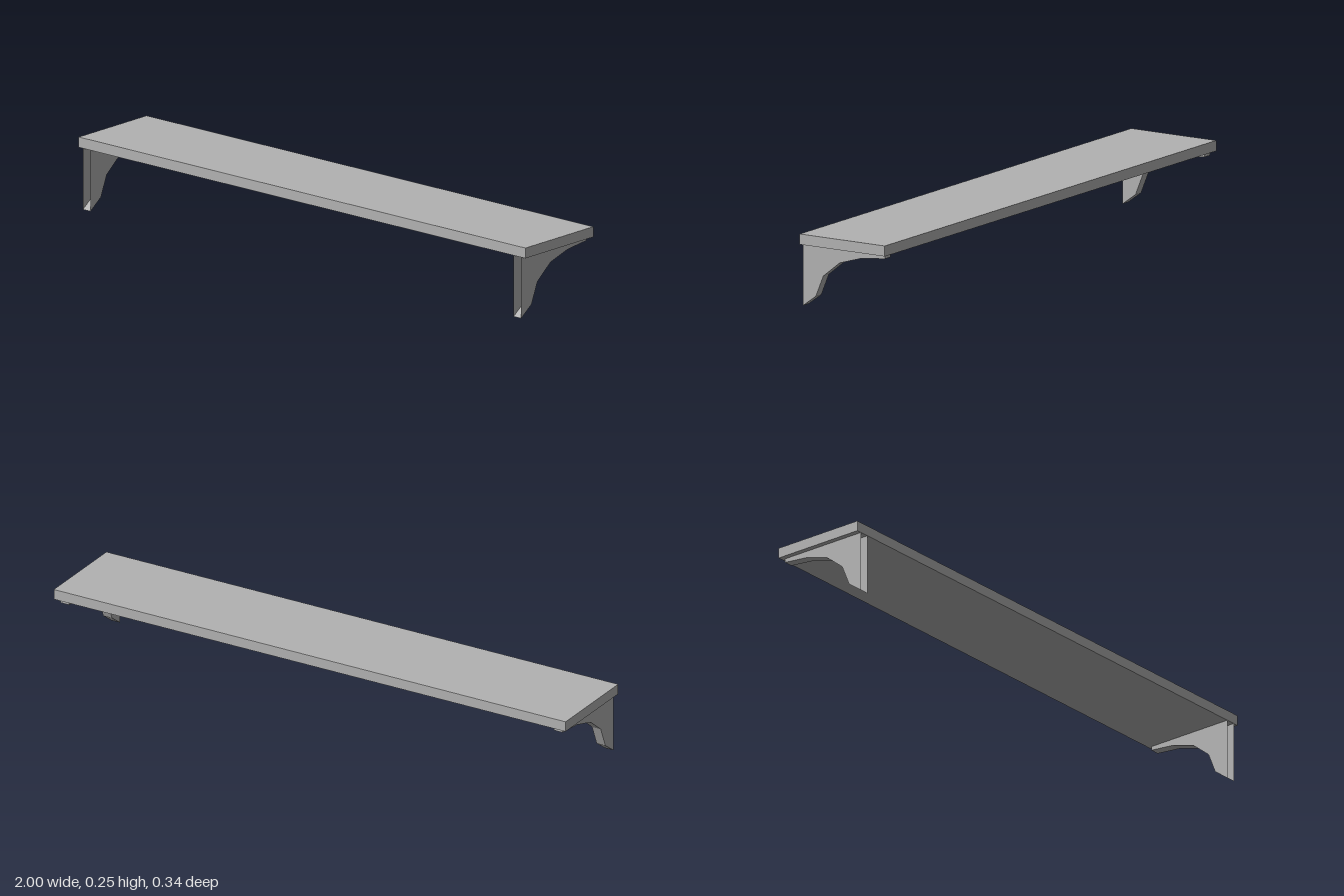
import * as THREE from 'three';

// Curved lower edge of a bracket as [z, y], from the wall foot to the shelf
const PROFILE = [
  [0.171, 0], [0.119, 0.038], [0.089, 0.111], [0.023, 0.164],
  [-0.064, 0.19], [-0.159, 0.2], [-0.159, 0.213],
];
const TOP = 0.213, HEIGHT = 0.249, DEPTH = 0.342;
const BRACKET_WIDTH = 0.034, BRACKET_X = 0.964;

// Flat side plate of a bracket, lying in the z-y plane
function sidePlate() {
  const outline = [...PROFILE, [0.171, TOP]].map(([z, y]) => new THREE.Vector2(-z, y));
  return new THREE.ShapeGeometry(new THREE.Shape(outline)).rotateY(Math.PI / 2);
}

// Faceted strip that joins the two plates along the curved edge
function edgeStrip() {
  const h = BRACKET_WIDTH / 2, pos = [];
  for (let i = 0; i < PROFILE.length - 1; i++) {
    const [z0, y0] = PROFILE[i], [z1, y1] = PROFILE[i + 1];
    pos.push(-h, y0, z0, -h, y1, z1, h, y1, z1);
    pos.push(-h, y0, z0, h, y1, z1, h, y0, z0);
  }
  const g = new THREE.BufferGeometry();
  g.setAttribute('position', new THREE.Float32BufferAttribute(pos, 3));
  g.computeVertexNormals();
  return g;
}

export function createModel() {
  const grey = new THREE.MeshStandardMaterial({ color: 0xb2b2b2, side: THREE.DoubleSide });
  grey.name = 'grey';
  const model = new THREE.Group();
  model.name = 'wallShelf';

  const add = (parent, name, geometry) => {
    const mesh = new THREE.Mesh(geometry, grey);
    mesh.name = name;
    parent.add(mesh);
    return mesh;
  };

  // Shelf board
  const board = add(model, 'shelfBoard', new THREE.BoxGeometry(2, HEIGHT - TOP, DEPTH));
  board.position.y = (HEIGHT + TOP) / 2;

  // Hollow brackets, open on the wall side and under the board
  for (const side of [-1, 1]) {
    const bracket = new THREE.Group();
    bracket.name = side > 0 ? 'leftBracket' : 'rightBracket';
    bracket.position.x = side * BRACKET_X;
    add(bracket, 'curvedEdge', edgeStrip());
    add(bracket, 'leftPlate', sidePlate()).position.x = BRACKET_WIDTH / 2;
    // The opposite plate is turned inside out so it faces outward
    const right = add(bracket, 'rightPlate', sidePlate());
    right.scale.x = -1;
    right.position.x = -BRACKET_WIDTH / 2;
    model.add(bracket);
  }
  return model;
}
